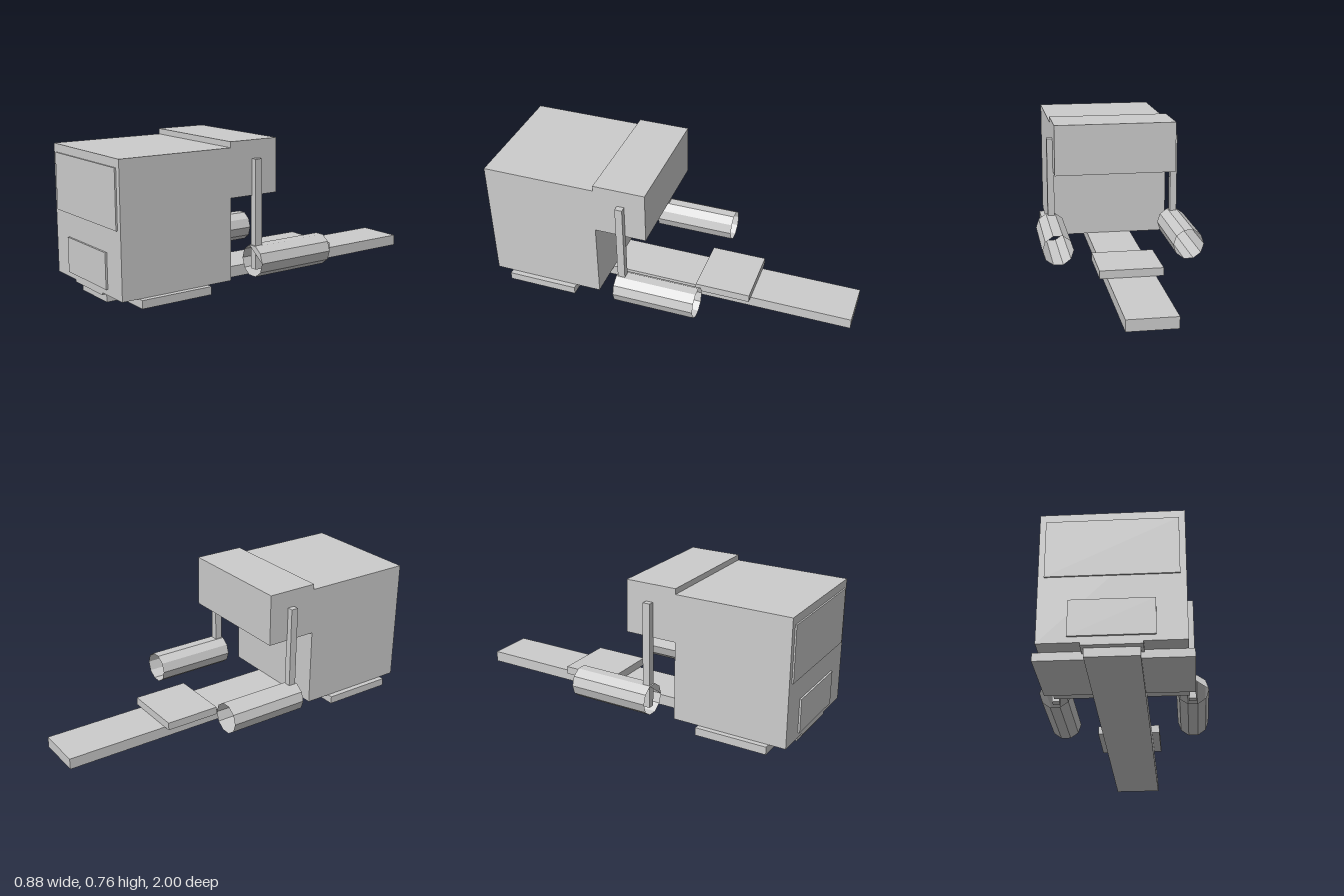
import * as THREE from 'three';

export function createModel() {
  const group = new THREE.Group();
  const grey = new THREE.MeshStandardMaterial({ color: 0xcccccc, flatShading: true });
  grey.name = 'light grey';
  const greyOpen = new THREE.MeshStandardMaterial({ color: 0xcccccc, flatShading: true, side: THREE.DoubleSide });
  greyOpen.name = 'light grey open';

  // Box given by its lower and upper limits on each axis
  function box(name, [x0, x1], [y0, y1], [z0, z1]) {
    const mesh = new THREE.Mesh(new THREE.BoxGeometry(x1 - x0, y1 - y0, z1 - z0), grey);
    mesh.position.set((x0 + x1) / 2, (y0 + y1) / 2, (z0 + z1) / 2);
    mesh.name = name;
    group.add(mesh);
  }

  // Frame and coupling plate
  box('chassis', [-0.128, 0.128], [0, 0.06], [-1, 0.96]);
  box('couplingPlate', [-0.168, 0.168], [0.06, 0.103], [-0.442, -0.137]);

  // Cab with the raised rear overhang
  box('cab', [-0.341, 0.341], [0.058, 0.735], [0.367, 0.99]);
  box('rearOverhang', [-0.341, 0.341], [0.482, 0.765], [0.083, 0.367]);

  // Thin front panels
  box('windscreen', [-0.312, 0.312], [0.395, 0.692], [0.99, 0.998]);
  box('grille', [-0.2, 0.2], [0.087, 0.27], [0.99, 1]);
  box('lowerLip', [-0.142, 0.142], [0.045, 0.058], [0.9, 0.99]);

  // Full-width step board
  box('stepBoard', [-0.37, 0.37], [0.016, 0.058], [0.507, 0.9]);

  const radius = 0.084, length = 0.45;
  for (const side of [-1, 1]) {
    // Exhaust post beside the overhang
    const xs = [side * 0.335, side * 0.373].sort((a, b) => a - b);
    box('exhaustPost', xs, [0.1, 0.67], [0.197, 0.237]);

    // Ten-sided open tank
    const tank = new THREE.Group();
    tank.name = 'tank';
    tank.position.set(side * 0.355, 0.145, 0.02);
    const shell = new THREE.CylinderGeometry(radius, radius, length, 10, 1, true, Math.PI / 2);
    shell.rotateX(Math.PI / 2);
    const tube = new THREE.Mesh(shell, greyOpen);
    tube.name = 'tankShell';

    // Partial cover on the front opening
    const corners = [0, 1, 2, 3].map(i => new THREE.Vector2(
      radius * Math.cos(i * Math.PI / 5), radius * Math.sin(i * Math.PI / 5)));
    const cover = new THREE.Mesh(new THREE.ShapeGeometry(new THREE.Shape(corners)), greyOpen);
    cover.position.z = length / 2;
    cover.name = 'tankCover';
    tank.add(tube, cover);
    group.add(tank);
  }
  return group;
}
